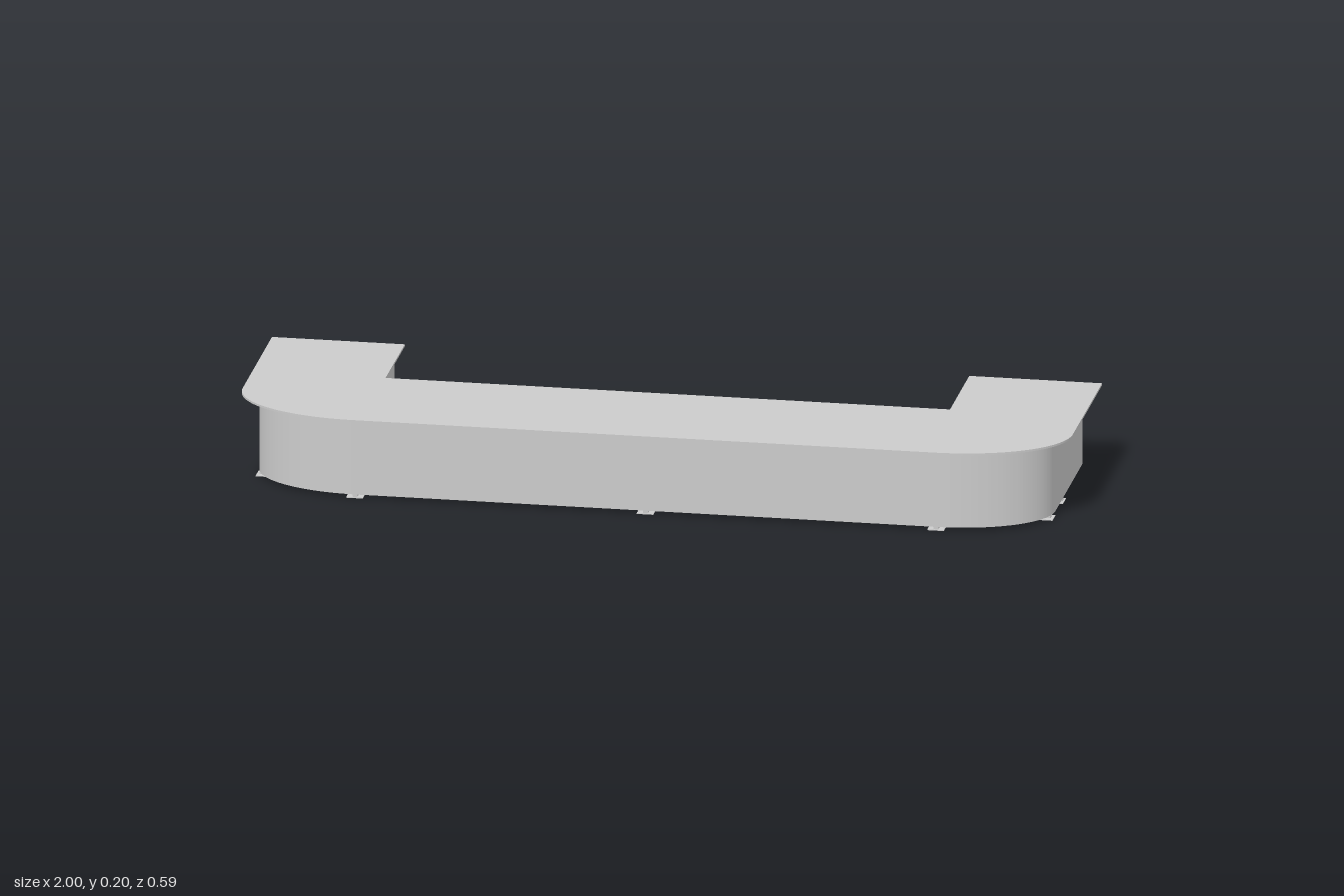
import * as THREE from 'three';

const material = new THREE.MeshStandardMaterial({ color: 0xcccccc, side: THREE.DoubleSide });

function add(group, name, geometry, x = 0, y = 0, z = 0) {
  const mesh = new THREE.Mesh(geometry, material);
  mesh.name = name;
  mesh.position.set(x, y, z);
  group.add(mesh);
  return mesh;
}

// Box given by its limits along each axis
function slab(group, name, [x0, x1], [y0, y1], [z0, z1]) {
  return add(group, name, new THREE.BoxGeometry(x1 - x0, y1 - y0, z1 - z0),
    (x0 + x1) / 2, (y0 + y1) / 2, (z0 + z1) / 2);
}

// Extrude a plan drawn in (x, -z) upwards between two heights
function plan(shape, y0, y1) {
  const g = new THREE.ExtrudeGeometry(shape, { depth: y1 - y0, bevelEnabled: false, curveSegments: 24 });
  return g.rotateX(-Math.PI / 2).translate(0, y0, 0);
}

export function createModel() {
  const model = new THREE.Group();
  model.name = 'barCounter';

  // U-shaped worktop with elliptical front corners
  const top = new THREE.Shape();
  top.moveTo(-1, 0.294);
  top.lineTo(-1, -0.1);
  top.absellipse(-0.7, -0.1, 0.3, 0.194, Math.PI, Math.PI * 1.5, false);
  top.lineTo(0.7, -0.294);
  top.absellipse(0.7, -0.1, 0.3, 0.194, Math.PI * 1.5, Math.PI * 2, false);
  top.lineTo(1, 0.294);
  top.lineTo(0.68, 0.294);
  top.lineTo(0.68, 0.035);
  top.lineTo(-0.68, 0.035);
  top.lineTo(-0.68, 0.294);
  top.closePath();
  add(model, 'worktop', plan(top, 0.197, 0.202));

  // Closed end cabinets with a rounded front corner
  for (const s of [1, -1]) {
    const wing = new THREE.Shape();
    wing.moveTo(s * 0.7, 0.268);
    wing.lineTo(s * 0.7, -0.268);
    if (s > 0) wing.absellipse(0.7, -0.1, 0.258, 0.168, Math.PI * 1.5, Math.PI * 2, false);
    else wing.absellipse(-0.7, -0.1, 0.258, 0.168, Math.PI * 1.5, Math.PI, true);
    wing.lineTo(s * 0.958, 0.268);
    wing.closePath();
    add(model, s > 0 ? 'leftCabinet' : 'rightCabinet', plan(wing, 0.008, 0.197));
  }

  // Middle section: front panel, plinth and open shelving facing the back
  slab(model, 'frontPanel', [-0.7, 0.7], [0.008, 0.197], [0.258, 0.268]);
  slab(model, 'plinth', [-0.7, 0.7], [0.008, 0.042], [-0.01, 0.258]);
  slab(model, 'shelf', [-0.7, 0.7], [0.115, 0.123], [-0.008, 0.258]);
  for (let i = 0; i <= 4; i++) {
    const x = -0.694 + i * 0.347;
    slab(model, 'divider', [x - 0.006, x + 0.006], [0.042, 0.197], [-0.01, 0.258]);
  }

  // Floor rails: a flat strip with a narrow upright web, interrupted at crossings
  const half = 0.02, web = 0.006, gap = 0.024;
  const webs = (from, to, cuts) => {
    const ends = [from, ...cuts.flatMap(c => [c - gap, c + gap]), to];
    const spans = [];
    for (let i = 0; i < ends.length; i += 2) spans.push([ends[i], ends[i + 1]]);
    return spans;
  };
  for (const x of [-0.7, 0, 0.7]) {
    const back = x === 0 ? -0.014 : -0.272;
    slab(model, 'crossRailStrip', [x - half, x + half], [0, 0.002], [back, 0.272]);
    for (const span of webs(back + 0.004, 0.268, x === 0 ? [0.13] : [0, 0.13]))
      slab(model, 'crossRailWeb', [x - web, x + web], [0.002, 0.008], span);
  }
  slab(model, 'longRailStrip', [-0.96, 0.96], [0, 0.0018], [0.13 - half, 0.13 + half]);
  for (const span of webs(-0.953, 0.953, [-0.7, 0, 0.7]))
    slab(model, 'longRailWeb', span, [0.0018, 0.008], [0.13 - web, 0.13 + web]);
  for (const s of [1, -1]) {
    const span = (a, b) => s > 0 ? [a, b] : [-b, -a];
    slab(model, 'cabinetRailStrip', span(0.7, 0.962), [0, 0.0018], [-half, half]);
    slab(model, 'cabinetRailWeb', span(0.724, 0.958), [0.0018, 0.008], [-web, web]);
  }
  return model;
}
